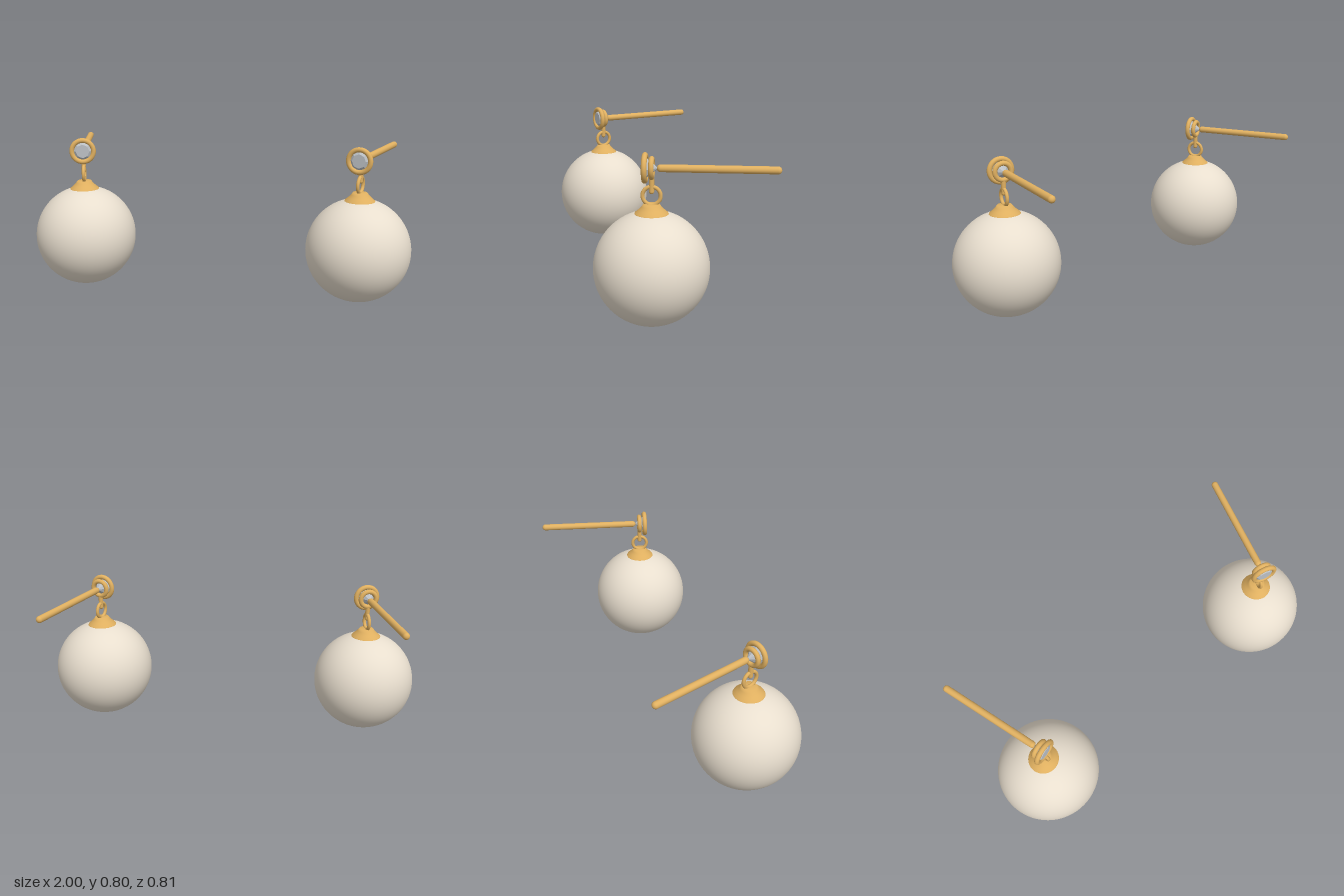
import * as THREE from 'three';

const gold = new THREE.MeshStandardMaterial({ color: 0xe0b060 });
const goldSheet = new THREE.MeshStandardMaterial({ color: 0xe0b060, side: THREE.DoubleSide });
const pearlMat = new THREE.MeshStandardMaterial({ color: 0xe8dece });
const gemMat = new THREE.MeshStandardMaterial({ color: 0xbcc0c4, flatShading: true });

function add(parent, name, geometry, material, y, z = 0) {
  const mesh = new THREE.Mesh(geometry, material);
  mesh.name = name;
  mesh.position.set(0, y, z);
  parent.add(mesh);
  return mesh;
}

const lathe = (points, sides) =>
  new THREE.LatheGeometry(points.map(([r, y]) => new THREE.Vector2(r, y)), sides);

// One earring: local +z is the face of the stud, the post runs along -z
function createEarring(side) {
  const earring = new THREE.Group();
  earring.name = side > 0 ? 'leftEarring' : 'rightEarring';

  // Hanging pearl with a flared cap
  add(earring, 'pearl', new THREE.SphereGeometry(0.267, 64, 40), pearlMat, 0.267);
  const cap = [[0.079, 0.519], [0.075, 0.527], [0.058, 0.541], [0.045, 0.555], [0.036, 0.567], [0, 0.568]];
  add(earring, 'pearlCap', lathe(cap, 40), goldSheet, 0);

  // Ring on the cap and the short bar that holds it
  const ring = add(earring, 'hangingRing', new THREE.TorusGeometry(0.041, 0.009, 16, 48), gold, 0.605);
  ring.rotation.y = Math.PI / 2;
  add(earring, 'connectorBar', new THREE.CapsuleGeometry(0.012, 0.06, 6, 16), gold, 0.654);

  // Stud: two stacked bezel rings around a pointed gem
  const studY = 0.731;
  add(earring, 'frontBezel', new THREE.TorusGeometry(0.057, 0.0128, 16, 48), gold, studY, 0.03);
  add(earring, 'backBezel', new THREE.TorusGeometry(0.041, 0.0122, 16, 48), gold, studY, 0);
  const gem = add(earring, 'gem', lathe([[0, -0.03], [0.05, 0.029], [0.036, 0.041], [0, 0.041]], 8), gemMat, studY);
  gem.rotation.x = Math.PI / 2;

  // Straight ear post with rounded ends
  const post = add(earring, 'earPost', new THREE.CapsuleGeometry(0.0175, 0.513, 8, 20), gold, studY, -0.297);
  post.rotation.x = Math.PI / 2;

  earring.position.set(side * 0.733, 0, 0.14);
  earring.rotation.y = -side * 0.29;
  return earring;
}

export function createModel() {
  const model = new THREE.Group();
  model.name = 'pearlEarrings';
  for (const side of [-1, 1]) model.add(createEarring(side));
  return model;
}
